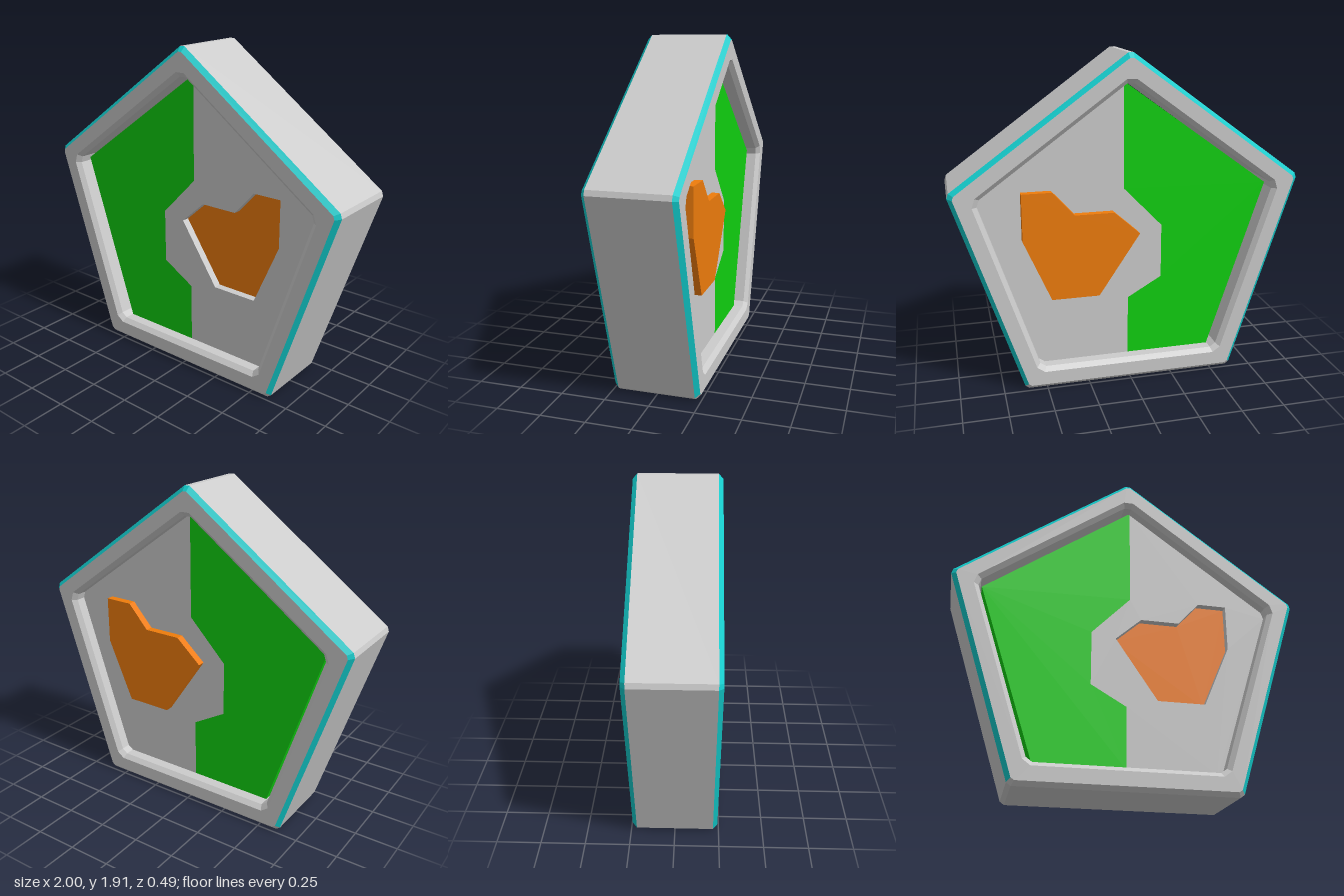
import * as THREE from 'three';

const HALF = 0.243;        // half the thickness of the frame
const LIP = 0.218;         // where the bevels meet the straight walls
const FLOOR = 0.16;        // half the thickness of the inner panels
const CENTER = 0.8575;     // height of the pentagon's centre

const grey = new THREE.MeshStandardMaterial({ color: 0xcccccc, flatShading: true });
const cyan = new THREE.MeshStandardMaterial({ color: 0x12cccc, flatShading: true });
const green = new THREE.MeshStandardMaterial({ color: 0x10d010, flatShading: true });
const orange = new THREE.MeshStandardMaterial({ color: 0xee7c0c, flatShading: true });

// Pentagon with clipped corners, counter-clockwise from the top: even edges are the clips
function pentagon(radius, clip) {
  const corners = [];
  for (let k = 0; k < 5; k++) {
    const a = Math.PI / 2 + (k * 2 * Math.PI) / 5;
    corners.push(new THREE.Vector2(radius * Math.cos(a), CENTER + radius * Math.sin(a)));
  }
  const points = [];
  corners.forEach((c, k) => {
    for (const other of [corners[(k + 4) % 5], corners[(k + 1) % 5]]) {
      points.push(c.clone().add(other.clone().sub(c).setLength(clip)));
    }
  });
  return points;
}

function quadMesh(name, positions, material) {
  const geometry = new THREE.BufferGeometry();
  geometry.setAttribute('position', new THREE.Float32BufferAttribute(positions, 3));
  geometry.computeVertexNormals();
  const mesh = new THREE.Mesh(geometry, material);
  mesh.name = name;
  return mesh;
}

// Flat panel centred on z
function panel(name, points, material, z = 0, hole = null) {
  const toVectors = (list) => list.map(([x, y]) => new THREE.Vector2(x, y));
  const shape = new THREE.Shape(toVectors(points));
  if (hole) shape.holes.push(new THREE.Path(toVectors(hole)));
  const geometry = new THREE.ExtrudeGeometry(shape, { depth: 2 * FLOOR, bevelEnabled: false });
  const mesh = new THREE.Mesh(geometry, material);
  mesh.position.z = z - FLOOR;
  mesh.name = name;
  return mesh;
}

export function createModel() {
  const model = new THREE.Group();
  model.name = 'pentagonBlock';

  // Frame: closed loop of pentagon sections, around the outside and back through the opening
  const outer = pentagon(1.06, 0.0185);
  const face = pentagon(1.03, 0.014);
  const opening = pentagon(0.932, 0.034);
  const inner = pentagon(0.901, 0.026);
  const sections = [
    [outer, -LIP], [outer, LIP], [face, HALF], [opening, HALF],
    [inner, LIP], [inner, -LIP], [opening, -HALF], [face, -HALF],
  ];
  const frame = [];
  const trim = [];
  sections.forEach(([from, z0], s) => {
    const [to, z1] = sections[(s + 1) % sections.length];
    const outerBevel = s === 1 || s === 7;
    for (let i = 0; i < 10; i++) {
      const j = (i + 1) % 10;
      const a = [from[i].x, from[i].y, z0];
      const b = [from[j].x, from[j].y, z0];
      const c = [to[j].x, to[j].y, z1];
      const d = [to[i].x, to[i].y, z1];
      // The bevel is coloured everywhere but along the bottom
      const target = outerBevel && (i < 4 || i > 6) ? trim : frame;
      target.push(...a, ...b, ...c, ...a, ...c, ...d);
    }
  });
  model.add(quadMesh('frame', frame, grey), quadMesh('edgeTrim', trim, cyan));

  // Stepped seam shared by the two inner panels, top to bottom
  const seam = [[0.025, 1.75], [0.025, 1.15], [-0.2, 0.917], [-0.2, 0.6], [0, 0.484], [0, 0.13]];

  // Left panel stops just short of the slanted walls
  model.add(panel('greenPanel', [[-0.83, 1.135], [-0.5, 0.13], ...seam.slice().reverse()], green));

  // Right panel fills the opening and has a cut-out for the plug
  const plug = [
    [-0.06, 0.89], [0.18, 0.532], [0.455, 0.532], [0.61, 0.89],
    [0.61, 1.163], [0.44, 1.163], [0.315, 1.024], [0.09, 1.024],
  ];
  const wall = inner.slice(6).map((p) => [p.x, p.y]);
  model.add(panel('greyPanel', [...seam, ...wall], grey, 0, plug));

  // Plug: sunk at the front, standing out at the back
  model.add(panel('orangePlug', plug, orange, -0.045));

  return model;
}
